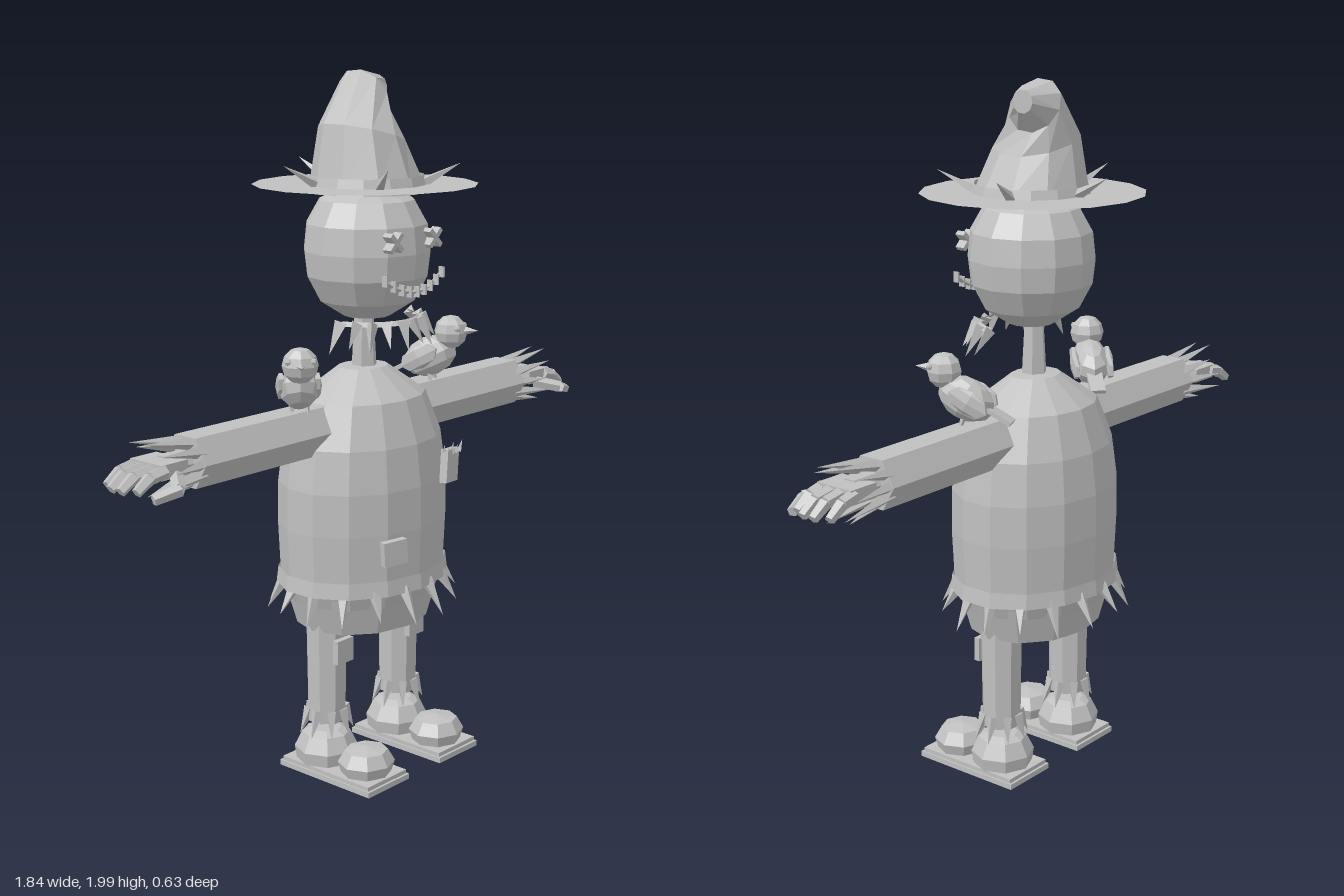
import * as THREE from 'three';

const grey = new THREE.MeshStandardMaterial({ color: 0xc0c0c0, flatShading: true, side: THREE.DoubleSide });
grey.name = 'grey';

const V = (x, y, z) => new THREE.Vector3(x, y, z);

function add(parent, name, geo, x = 0, y = 0, z = 0) {
  const m = new THREE.Mesh(geo, grey);
  m.name = name;
  m.position.set(x, y, z);
  parent.add(m);
  return m;
}

function group(parent, name) {
  const g = new THREE.Group();
  g.name = name;
  parent.add(g);
  return g;
}

// Tapered rod between two points; r1 = 0 gives a spike
function rod(parent, name, a, b, r0, r1 = 0, sides = 4) {
  const d = b.clone().sub(a);
  const m = add(parent, name, new THREE.CylinderGeometry(r1, r0, d.length(), sides));
  m.position.copy(a).addScaledVector(d, 0.5);
  m.quaternion.setFromUnitVectors(V(0, 1, 0), d.normalize());
  return m;
}

function ball(parent, name, x, y, z, sx, sy, sz, w = 8, h = 6) {
  const m = add(parent, name, new THREE.SphereGeometry(1, w, h), x, y, z);
  m.scale.set(sx, sy, sz);
  return m;
}

function lathe(parent, name, pts, sides) {
  return add(parent, name, new THREE.LatheGeometry(pts.map(p => new THREE.Vector2(p[0], p[1])), sides));
}

// Skin over tilted rings: each ring is centre, normal and radius
function loft(rings, n) {
  const pos = [], idx = [];
  rings.forEach(({ c, d, r }, k) => {
    const q = new THREE.Quaternion().setFromUnitVectors(V(0, 1, 0), d.clone().normalize());
    for (let i = 0; i < n; i++) {
      const a = i / n * Math.PI * 2;
      pos.push(...V(Math.sin(a) * r, 0, Math.cos(a) * r).applyQuaternion(q).add(c).toArray());
      if (k === 0) continue;
      const j = (i + 1) % n, p = (k - 1) * n, s = k * n;
      idx.push(p + i, p + j, s + j, p + i, s + j, s + i);
    }
  });
  const last = (rings.length - 1) * n;
  for (let i = 1; i < n - 1; i++) idx.push(last, last + i, last + i + 1);
  const g = new THREE.BufferGeometry();
  g.setAttribute('position', new THREE.Float32BufferAttribute(pos, 3));
  g.setIndex(idx);
  g.computeVertexNormals();
  return g;
}

function buildHat(root) {
  const hat = group(root, 'hat');
  add(hat, 'crown', loft([
    { c: V(0, 1.68, 0), d: V(0, 1, 0), r: 0.16 },
    { c: V(-0.01, 1.82, -0.01), d: V(0.25, 0.95, 0), r: 0.122 },
    { c: V(0.04, 1.922, -0.045), d: V(0.87, 0.5, -0.1), r: 0.08 },
    { c: V(0.125, 1.94, -0.07), d: V(1, 0, -0.1), r: 0.032 },
  ], 10));
  const brim = add(hat, 'brim', new THREE.CircleGeometry(0.315, 16), 0, 1.682, -0.006);
  brim.rotation.x = -Math.PI / 2;
  add(hat, 'band', new THREE.CylinderGeometry(0.16, 0.172, 0.045, 14, 1, true), 0, 1.685, 0);
  for (let i = 0; i < 5; i++) {
    const a = Math.PI + i / 5 * Math.PI * 2, s = Math.sin(a), c = Math.cos(a);
    rod(hat, 'hatSpike', V(s * 0.155, 1.685, c * 0.155), V(s * 0.26, 1.742, c * 0.26), 0.017);
  }
}

function buildHead(root) {
  const head = group(root, 'head');
  lathe(head, 'skull', [[0, 1.31], [0.065, 1.315], [0.135, 1.36], [0.172, 1.43], [0.18, 1.5],
    [0.172, 1.575], [0.135, 1.64], [0.075, 1.67], [0, 1.672]], 12);
  rod(head, 'neck', V(0, 1.15, -0.01), V(0, 1.33, -0.01), 0.038, 0.028, 6);
  // Cross-stitched eyes
  for (const x of [-0.082, 0.082]) for (const t of [-1, 1]) {
    add(head, 'eyeStitch', new THREE.BoxGeometry(0.064, 0.014, 0.03), x, 1.54, 0.168).rotation.z = t * Math.PI / 4;
  }
  // Curved mouth with stitches
  const curve = new THREE.QuadraticBezierCurve3(V(-0.12, 1.44, 0.168), V(0, 1.36, 0.19), V(0.12, 1.44, 0.168));
  add(head, 'mouth', new THREE.TubeGeometry(curve, 10, 0.006, 4));
  for (let i = 0; i <= 8; i++) {
    const p = curve.getPoint(i / 8);
    add(head, 'mouthStitch', new THREE.BoxGeometry(0.005, 0.03, 0.018), p.x, p.y, p.z + 0.004);
  }
  // Straw collar round the front
  for (let i = 0; i < 10; i++) {
    const a = (i / 9 - 0.5) * 2.7, s = Math.sin(a), c = Math.cos(a);
    rod(head, 'collarStraw', V(s * 0.15, 1.315, c * 0.15), V(s * 0.205, 1.235 + (i % 2) * 0.015, c * 0.185), 0.02, 0, 3);
  }
  const rim = add(head, 'collarBand', new THREE.CylinderGeometry(0.14, 0.155, 0.012, 10, 1, true, -1.35, 2.7), 0, 1.312, 0);
  rim.scale.y = 1;
}

function buildBody(root) {
  const body = group(root, 'body');
  body.position.z = -0.015;
  const flat = 0.81;
  const round = m => { m.scale.z = flat; return m; };
  round(lathe(body, 'torso', [[0, 1.175], [0.08, 1.17], [0.2, 1.09], [0.25, 0.97], [0.268, 0.85],
    [0.27, 0.73], [0.262, 0.57], [0.24, 0.51]], 14));
  round(lathe(body, 'shirtTail', [[0.25, 0.54], [0.215, 0.43], [0, 0.43]], 12));
  round(add(body, 'hemBand', new THREE.CylinderGeometry(0.27, 0.276, 0.045, 14, 1, true), 0, 0.575, 0));
  for (let i = 0; i < 16; i++) {
    const a = (i + 0.5) / 16 * Math.PI * 2, s = Math.sin(a), c = Math.cos(a);
    rod(body, 'hemStraw', V(s * 0.25, 0.565, c * 0.25 * flat), V(s * 0.3, 0.465 + (i % 3) * 0.012, c * 0.26), 0.02);
  }
  // Sewn patches
  const high = add(body, 'chestPatch', new THREE.BoxGeometry(0.085, 0.095, 0.022), 0.125, 0.89, 0.218);
  high.rotation.set(0, 0.3, -0.12);
  for (let i = 0; i < 5; i++) {
    rod(body, 'pocketStraw', V(0.095 + i * 0.016, 0.925, 0.225), V(0.085 + i * 0.02, 0.96 - (i % 2) * 0.012, 0.232), 0.008, 0, 3);
  }
  const low = add(body, 'bellyPatch', new THREE.BoxGeometry(0.075, 0.07, 0.022), -0.112, 0.685, 0.216);
  low.rotation.set(0, -0.3, 0.06);
}

function buildArm(root, s) {
  const arm = group(root, s > 0 ? 'leftArm' : 'rightArm');
  const z0 = -0.022, y0 = 1.018;
  rod(arm, 'sleeve', V(s * 0.15, y0, z0), V(s * 0.68, y0, z0), 0.077, 0.077, 6);
  // Straw bursting from the cuff
  for (let i = 0; i < 10; i++) {
    const a = (i + 0.5) / 10 * Math.PI * 2, u = Math.cos(a), v = Math.sin(a);
    rod(arm, 'cuffStraw', V(s * 0.66, y0 + u * 0.05, z0 + v * 0.055),
      V(s * (0.85 - (i % 3) * 0.03), y0 + u * 0.082, z0 + v * 0.082), 0.019);
  }
  // Palm, drooping fingers and thumb
  rod(arm, 'wrist', V(s * 0.66, y0, z0), V(s * 0.76, y0, z0), 0.034, 0.034, 6);
  add(arm, 'palm', new THREE.BoxGeometry(0.09, 0.04, 0.12), s * 0.77, y0 + 0.005, z0);
  for (let i = 0; i < 4; i++) {
    const z = z0 - 0.055 + i * 0.037, reach = i === 0 || i === 3 ? -0.02 : 0;
    const k = V(s * (0.868 + reach), 1.017, z - 0.003);
    rod(arm, 'finger', V(s * 0.8, 1.026, z), k, 0.019, 0.018, 5);
    rod(arm, 'fingertip', k, V(s * (0.913 + reach), 0.987, z - 0.004), 0.018, 0.014, 5);
  }
  rod(arm, 'thumb', V(s * 0.76, 1.005, 0.03), V(s * 0.81, 0.99, 0.095), 0.019, 0.018, 5);
  rod(arm, 'thumbTip', V(s * 0.805, 0.99, 0.095), V(s * 0.873, 0.972, 0.07), 0.018, 0.015, 5);
}

function buildLeg(root, s) {
  const leg = group(root, s > 0 ? 'leftLeg' : 'rightLeg');
  leg.position.x = s * 0.157;
  add(leg, 'trouser', new THREE.CylinderGeometry(0.062, 0.057, 0.34, 8), 0, 0.32, -0.015).rotation.y = Math.PI / 8;
  add(leg, 'kneePatch', new THREE.BoxGeometry(0.066, 0.07, 0.018), 0, 0.372, 0.05);
  for (let i = 0; i < 8; i++) {
    const a = i / 8 * Math.PI * 2 + 0.2, u = Math.sin(a), v = Math.cos(a);
    rod(leg, 'ankleStraw', V(u * 0.05, 0.185, v * 0.05 - 0.015), V(u * 0.083, 0.11, v * 0.075 - 0.015), 0.018);
  }
  // Shoe on a flat sole
  add(leg, 'sole', new THREE.BoxGeometry(0.175, 0.016, 0.345), 0, 0.008, 0.052);
  add(leg, 'welt', new THREE.BoxGeometry(0.165, 0.012, 0.33), 0, 0.022, 0.052);
  lathe(leg, 'shoeHeel', [[0.086, 0.026], [0.092, 0.065], [0.07, 0.11], [0.045, 0.122], [0, 0.122]], 8).position.z = -0.018;
  const toe = lathe(leg, 'shoeToe', [[0.07, 0.026], [0.08, 0.06], [0.06, 0.095], [0, 0.105]], 8);
  toe.position.z = 0.138;
  toe.scale.x = 1.05;
}

function buildBird(root, name, x, y, z, yaw) {
  const bird = group(root, name);
  bird.position.set(x, y, z);
  bird.rotation.y = yaw;
  ball(bird, 'birdBody', 0, 0, 0, 0.056, 0.058, 0.085, 8, 6).rotation.x = -0.45;
  ball(bird, 'birdHead', 0, 0.075, 0.062, 0.05, 0.05, 0.05, 8, 6);
  rod(bird, 'beak', V(0, 0.08, 0.1), V(0, 0.082, 0.145), 0.015);
  const tail = add(bird, 'birdTail', new THREE.BoxGeometry(0.045, 0.012, 0.08), 0, -0.04, -0.095);
  tail.rotation.x = -0.5;
  for (const s of [-1, 1]) {
    ball(bird, 'wing', s * 0.05, 0.002, -0.02, 0.014, 0.034, 0.07, 6, 4).rotation.x = -0.5;
    ball(bird, 'birdEye', s * 0.034, 0.09, 0.092, 0.01, 0.01, 0.01, 6, 4);
    rod(bird, 'birdFoot', V(s * 0.02, -0.04, 0), V(s * 0.022, -0.075, 0.01), 0.008, 0.006);
  }
}

export function createModel() {
  const root = new THREE.Group();
  root.name = 'scarecrow';
  buildHat(root);
  buildHead(root);
  buildBody(root);
  for (const s of [-1, 1]) {
    buildArm(root, s);
    buildLeg(root, s);
  }
  buildBird(root, 'leftBird', 0.288, 1.155, -0.005, 0.4);
  buildBird(root, 'rightBird', -0.272, 1.148, -0.005, -0.75);
  return root;
}
